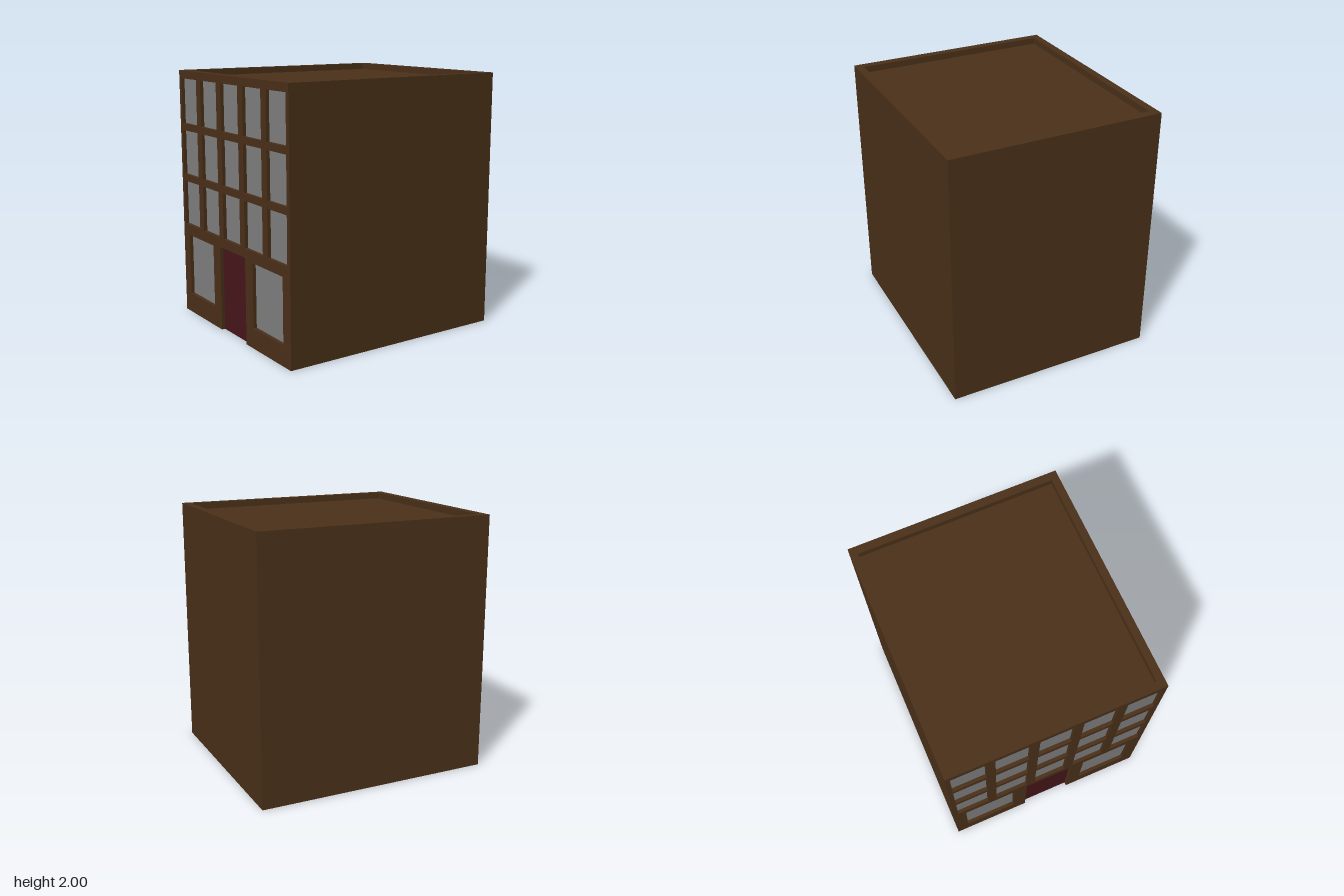
import * as THREE from 'three';

const W = 0.925, D = 0.825, H = 2;      // outer half width, half depth, height
const WI = 0.86, DI = 0.765;            // inner half width, half depth
const ROOF_Y = 1.95;

const brick = new THREE.MeshStandardMaterial({ color: 0x4b3119 });
const glass = new THREE.MeshStandardMaterial({ color: 0x808080 });
const doorRed = new THREE.MeshStandardMaterial({ color: 0x48161a });

function add(group, name, geometry, material, x = 0, y = 0, z = 0) {
  const mesh = new THREE.Mesh(geometry, material);
  mesh.name = name;
  mesh.position.set(x, y, z);
  group.add(mesh);
  return mesh;
}

const polygon = (points) => new THREE.Shape(points.map(([x, y]) => new THREE.Vector2(x, y)));

export function createModel() {
  const model = new THREE.Group();
  model.name = 'building';

  // Three plain walls in one U-shaped run, mitred where they meet the street wall
  const plain = new THREE.ExtrudeGeometry(polygon([
    [-W, -D], [W, -D], [W, D], [-W, D], [-WI, DI], [WI, DI], [WI, -DI], [-WI, -DI],
  ]), { depth: H, bevelEnabled: false });
  plain.rotateX(-Math.PI / 2);
  add(model, 'plainWalls', plain, brick);

  // Openings of the street wall: centre z, centre y, width, height
  const openings = [];
  for (let row = 0; row < 3; row++) {
    for (let col = -2; col <= 2; col++) openings.push([col * 0.33, 1.757 - row * 0.415, 0.26, 0.36]);
  }
  for (const side of [-1, 1]) openings.push([side * 0.517, 0.41, 0.42, 0.5]);

  // Street wall with window holes and a doorway cut up from the ground
  const doorHalf = 0.197, doorTop = 0.675;
  const street = polygon([
    [-D, 0], [-doorHalf, 0], [-doorHalf, doorTop], [doorHalf, doorTop], [doorHalf, 0],
    [D, 0], [D, H], [-D, H],
  ]);
  for (const [z, y, w, h] of openings) {
    street.holes.push(new THREE.Path([[-1, -1], [-1, 1], [1, 1], [1, -1]]
      .map(([a, b]) => new THREE.Vector2(z + a * w / 2, y + b * h / 2))));
  }
  const wall = new THREE.ExtrudeGeometry(street, { depth: W - WI, bevelEnabled: false });
  wall.rotateY(-Math.PI / 2);
  // Pull in the inner side edges to form the mitres
  const p = wall.attributes.position;
  for (let i = 0; i < p.count; i++) {
    if (p.getX(i) > -0.01 && Math.abs(p.getZ(i)) > D - 0.001) p.setZ(i, Math.sign(p.getZ(i)) * DI);
  }
  wall.computeVertexNormals();
  add(model, 'streetWall', wall, brick, -WI);

  // Thin panes and door set midway in the wall
  const paneX = -(W + WI) / 2;
  for (const [z, y, w, h] of openings) {
    add(model, 'windowPane', new THREE.BoxGeometry(0.01, h, w), glass, paneX, y, z);
  }
  add(model, 'door', new THREE.BoxGeometry(0.01, doorTop, doorHalf * 2), doorRed, paneX, doorTop / 2, 0);

  // Flat roof sunk behind the parapet
  add(model, 'roof', new THREE.BoxGeometry(WI * 2, 0.012, DI * 2), brick, 0, ROOF_Y - 0.006, 0);

  return model;
}
